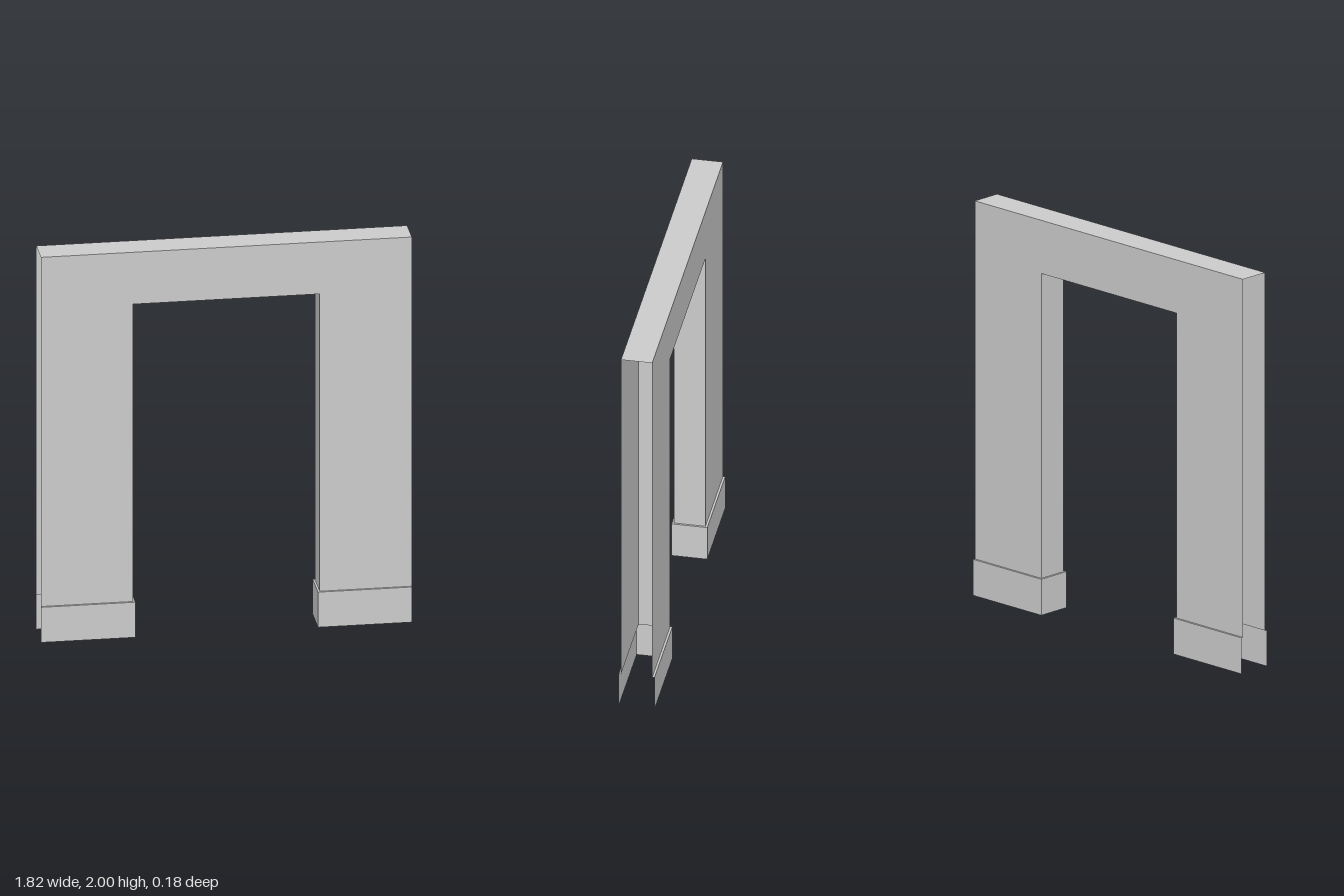
import * as THREE from 'three';

const W = 0.908, H = 2, D = 0.077;         // wall half width, height, half depth
const OPEN_W = 0.457, OPEN_H = 1.73;       // doorway half width, height
const BASE_X = 0.447, BASE_D = 0.088, BASE_H = 0.183; // plinth inner edge, half depth, height

const material = new THREE.MeshStandardMaterial({ color: 0xcccccc, side: THREE.DoubleSide });

// Flat-shaded band of quads between two rails of points
function band(name, a, b) {
  const pos = [];
  for (let i = 0; i < a.length - 1; i++) {
    for (const p of [a[i], a[i + 1], b[i + 1], a[i], b[i + 1], b[i]]) pos.push(...p);
  }
  const geometry = new THREE.BufferGeometry();
  geometry.setAttribute('position', new THREE.Float32BufferAttribute(pos, 3));
  geometry.computeVertexNormals();
  const mesh = new THREE.Mesh(geometry, material);
  mesh.name = name;
  return mesh;
}

// Upside-down U outline in elevation, at depth z
const arch = (w, h, z) => [[-w, BASE_H, z], [-w, h, z], [w, h, z], [w, BASE_H, z]];

// U outline in plan, open towards the wall's end, at height y
const plan = (x, d, y) => [[W, y, d], [x, y, d], [x, y, -d], [W, y, -d]];

// Hollow plinth wrapping one leg, with a narrow ledge up to the wall
function createPlinth(name) {
  const plinth = new THREE.Group();
  plinth.name = name;
  plinth.add(
    band('plinthSides', plan(BASE_X, BASE_D, BASE_H), plan(BASE_X, BASE_D, 0)),
    band('plinthLedge', plan(OPEN_W, D, BASE_H), plan(BASE_X, BASE_D, BASE_H)),
  );
  return plinth;
}

export function createModel() {
  const model = new THREE.Group();
  model.name = 'doorwayWall';

  // Wall shell: open at both ends and at the bottom
  model.add(
    band('wallFront', arch(OPEN_W, OPEN_H, D), arch(W, H, D)),
    band('wallBack', arch(W, H, -D), arch(OPEN_W, OPEN_H, -D)),
    band('doorwayLining', arch(OPEN_W, OPEN_H, -D), arch(OPEN_W, OPEN_H, D)),
    band('wallTop', [[-W, H, D], [W, H, D]], [[-W, H, -D], [W, H, -D]]),
  );

  // Plinths under both legs
  const right = createPlinth('rightPlinth');
  right.rotation.y = Math.PI;
  model.add(createPlinth('leftPlinth'), right);
  return model;
}
